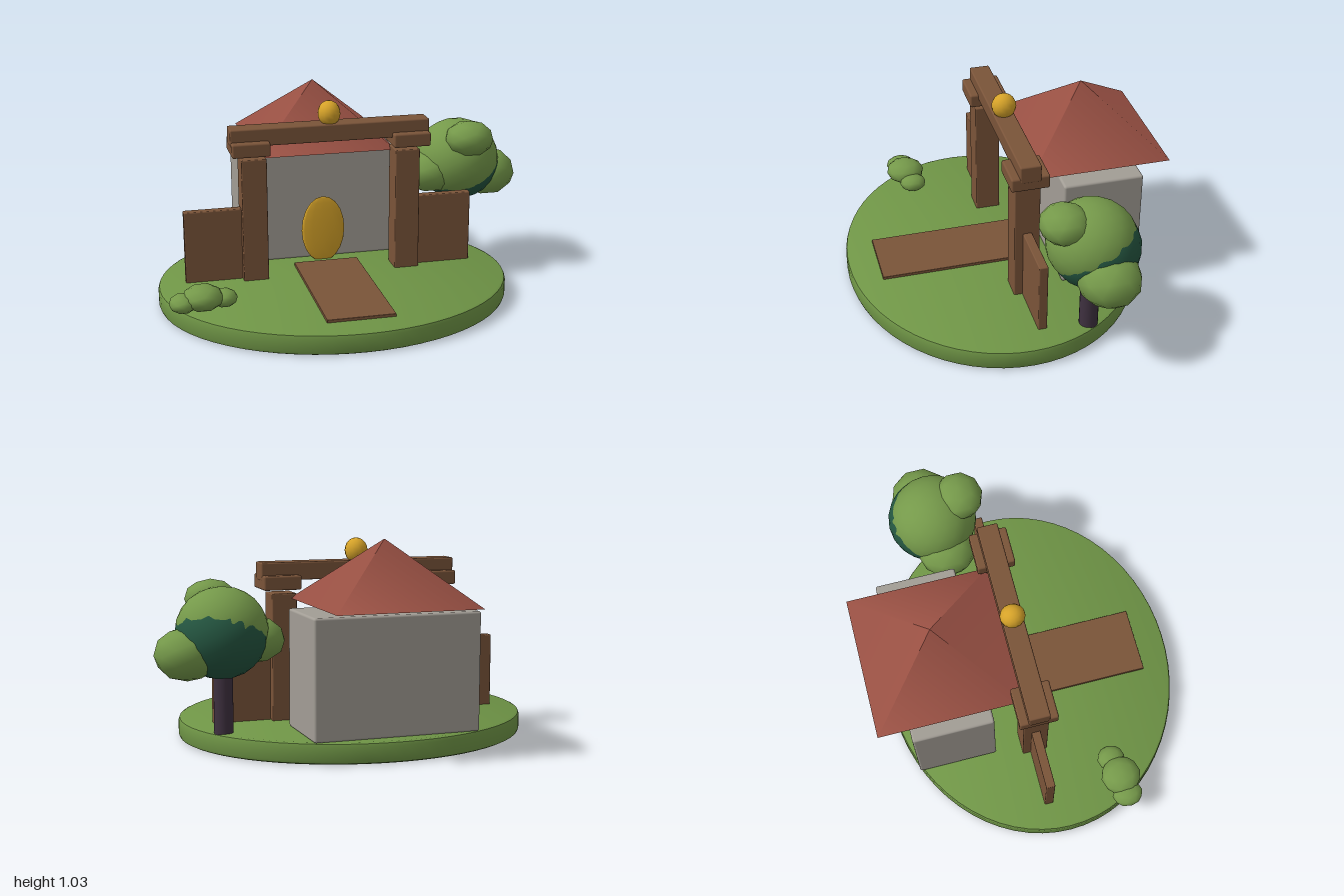
import * as THREE from 'three';
import { toCreasedNormals } from 'three/addons/utils/BufferGeometryUtils.js';
import { RoundedBoxGeometry } from 'three/addons/geometries/RoundedBoxGeometry.js';

export function createModel() {
  const model = new THREE.Group();
  model.name = 'courtyardHouse';

  const mat = (name, color) => {
    const m = new THREE.MeshStandardMaterial({ color });
    m.name = name;
    return m;
  };
  const grass = mat('grass green', 0x6f9546);
  const leaf = mat('leaf green', 0x75994a);
  const darkLeaf = mat('dark leaf green', 0x245540);
  const wood = mat('wood brown', 0x7a5439);
  const tile = mat('roof red', 0x9a5144);
  const stone = mat('wall grey', 0xa29d95);
  const gold = mat('gold', 0xd6a329);
  const bark = mat('bark', 0x3f3140);

  const add = (name, geometry, material, x, y, z, parent = model) => {
    const mesh = new THREE.Mesh(geometry, material);
    mesh.name = name;
    mesh.position.set(x, y, z);
    parent.add(mesh);
    return mesh;
  };
  // Box given by its extents, with slightly softened edges
  const box = (name, material, [x0, x1], [y0, y1], [z0, z1], r = 0.006) =>
    add(name, new RoundedBoxGeometry(x1 - x0, y1 - y0, z1 - z0, 2, r), material,
      (x0 + x1) / 2, (y0 + y1) / 2, (z0 + z1) / 2);
  // Ellipsoid blob for foliage
  const blob = (name, material, p, r, detail, parent) => {
    const mesh = add(name, new THREE.IcosahedronGeometry(1, detail), material, ...p, parent);
    mesh.scale.set(...r);
    return mesh;
  };

  const CX = -0.1; // axis of the house and gate

  // Oval ground slab with a rounded rim
  const rim = [[0, 0], [0.98, 0], [0.994, 0.006], [1, 0.02], [1, 0.085], [0.994, 0.099], [0.98, 0.105], [0, 0.105]]
    .map(([x, y]) => new THREE.Vector2(x, y));
  const slab = new THREE.LatheGeometry(rim, 64);
  slab.scale(0.9, 1, 0.76);
  add('ground', toCreasedNormals(slab, 0.7), grass, CX, 0, 0.04);

  // House
  box('houseWalls', stone, [CX - 0.42, CX + 0.42], [0.105, 0.69], [-0.65, -0.24], 0.012);
  const roof = new THREE.ConeGeometry(0.363 * Math.SQRT2, 0.312, 4);
  roof.rotateY(Math.PI / 4);
  add('roof', roof, tile, CX, 0.876, -0.444);

  // Oval door
  const door = add('door', new THREE.SphereGeometry(1, 12, 10), gold, CX, 0.272, -0.2);
  door.scale.set(0.116, 0.183, 0.012);

  // Path
  box('path', wood, [CX - 0.17, CX + 0.17], [0.1, 0.12], [-0.14, 0.645], 0.003);

  // Gate and fence, mirrored about the axis
  for (const s of [-1, 1]) {
    const side = s > 0 ? 'left' : 'right';
    const span = (a, b) => [CX + s * a, CX + s * b].sort((p, q) => p - q);
    box(side + 'GatePost', wood, span(0.334, 0.463), [0.1, 0.745], [-0.105, 0.025]);
    box(side + 'GateBracket', wood, span(0.318, 0.512), [0.765, 0.837], [-0.138, 0.055], 0.01);
    box(side + 'FencePanel', wood, span(0.46, 0.755), [0.1, 0.48], [-0.064, -0.018]);
  }
  box('gateBeam', wood, [CX - 0.514, CX + 0.514], [0.81, 0.9], [-0.094, 0.012], 0.008);
  const ball = add('gateBall', new THREE.SphereGeometry(1, 14, 10), gold, CX, 0.946, -0.042);
  ball.scale.set(0.058, 0.065, 0.063);

  // Tree
  const tree = new THREE.Group();
  tree.name = 'tree';
  model.add(tree);
  add('trunk', new THREE.CylinderGeometry(0.047, 0.047, 0.4, 20), bark, 0.658, 0.3, -0.274, tree);
  blob('lowerCrown', darkLeaf, [0.669, 0.575, -0.287], [0.222, 0.205, 0.222], 3, tree);
  blob('upperCrown', leaf, [0.66, 0.6, -0.272], [0.224, 0.212, 0.224], 3, tree);
  blob('frontLeafClump', leaf, [0.68, 0.74, -0.128], [0.13, 0.095, 0.125], 1, tree);
  blob('leftLeafClump', leaf, [0.838, 0.5, -0.305], [0.16, 0.13, 0.158], 1, tree);
  blob('rightLeafClump', leaf, [0.498, 0.545, -0.245], [0.155, 0.115, 0.155], 1, tree);

  // Bush
  const bush = new THREE.Group();
  bush.name = 'bush';
  model.add(bush);
  blob('bushCentre', leaf, [-0.818, 0.172, 0.353], [0.102, 0.063, 0.104], 1, bush);
  blob('bushRight', leaf, [-0.915, 0.155, 0.362], [0.068, 0.046, 0.08], 1, bush);
  blob('bushLeft', leaf, [-0.712, 0.153, 0.33], [0.067, 0.044, 0.072], 1, bush);

  return model;
}
